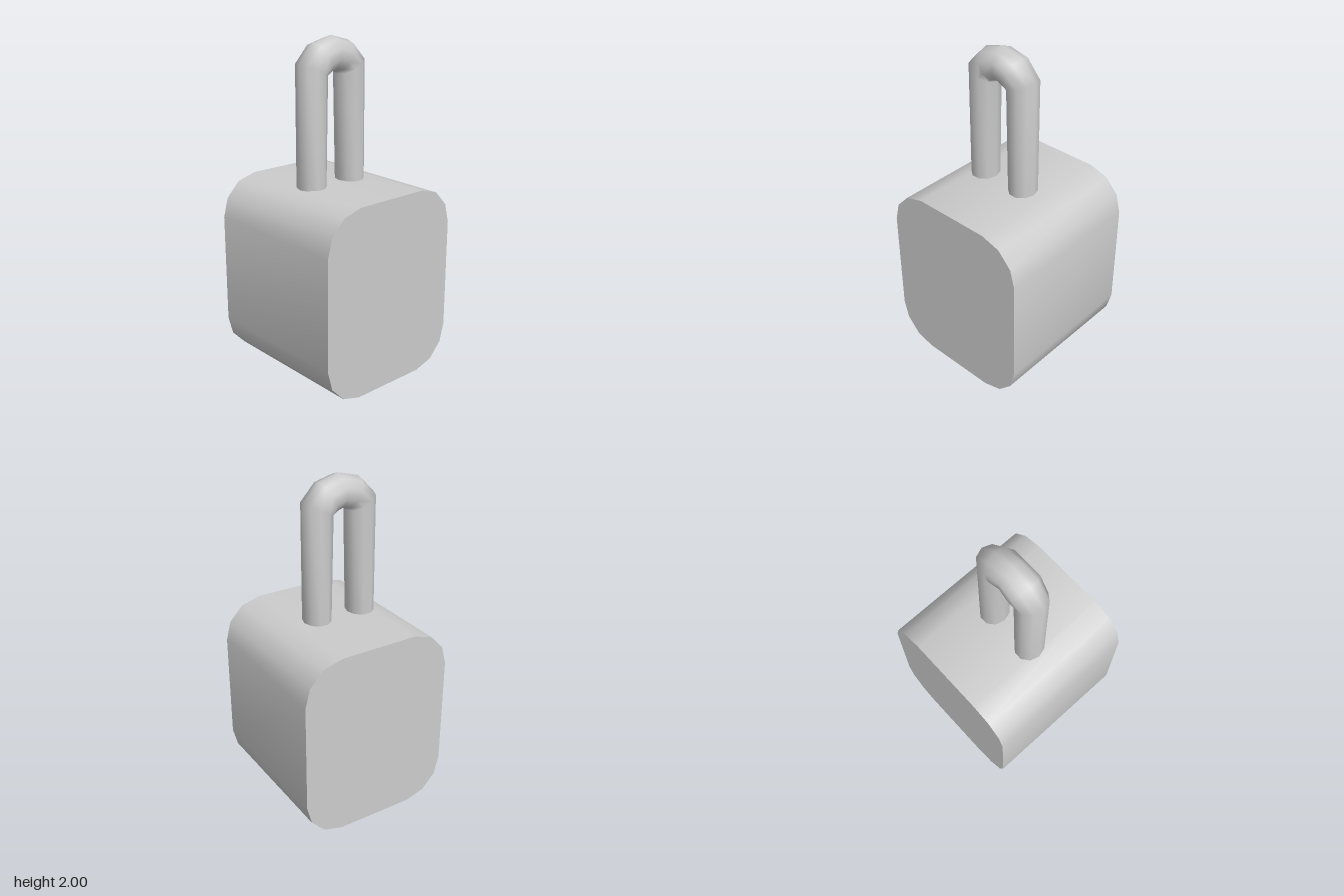
import * as THREE from 'three';
import { toCreasedNormals } from 'three/addons/utils/BufferGeometryUtils.js';

const material = new THREE.MeshStandardMaterial({ color: 0xcccccc });

// Block with rounded long edges, extruded along x
function makeBody() {
  const halfWidth = 0.475, height = 1.145;
  const corner = [[0.24, 0], [0.36, 0.035], [0.445, 0.125], [0.475, 0.24]];
  const right = [...corner, ...corner.map(([z, y]) => [z, height - y]).reverse()];
  const left = right.map(([z, y]) => [-z, y]).reverse();
  const shape = new THREE.Shape([...right, ...left].map(([z, y]) => new THREE.Vector2(-z, y)).reverse());
  const geometry = new THREE.ExtrudeGeometry(shape, { depth: halfWidth * 2, bevelEnabled: false });
  geometry.translate(0, 0, -halfWidth);
  geometry.rotateY(Math.PI / 2);
  const mesh = new THREE.Mesh(toCreasedNormals(geometry, 0.62), material);
  mesh.name = 'lockBody';
  return mesh;
}

// Ten-sided bent bar, lofted through rings in the yz plane
function makeShackle() {
  const sides = 10;
  // offset from the arch centre, height, tilt in degrees, half width, half depth
  const half = [
    [0.148, 1.14, 0, 0.093, 0.083],
    [0.14, 1.818, 25, 0.093, 0.1],
    [0.08, 1.878, 61, 0.104, 0.1],
  ];
  const mirrored = half.map(([z, y, tilt, rx, r]) => [-z, y, 180 - tilt, rx, r]).reverse();
  const rings = [...half, [0, 1.9, 90, 0.096, 0.1], ...mirrored];
  const positions = [], indices = [];
  rings.forEach(([z, y, tilt, rx, r], i) => {
    const t = THREE.MathUtils.degToRad(tilt);
    for (let j = 0; j < sides; j++) {
      const a = (j / sides) * Math.PI * 2;
      const out = Math.cos(a) * r;
      positions.push(Math.sin(a) * rx, y + out * Math.sin(t), z + out * Math.cos(t));
      if (i === rings.length - 1) continue;
      const k = (j + 1) % sides, p = i * sides, q = p + sides;
      indices.push(p + j, p + k, q + j, p + k, q + k, q + j);
    }
  });
  const geometry = new THREE.BufferGeometry();
  geometry.setAttribute('position', new THREE.Float32BufferAttribute(positions, 3));
  geometry.setIndex(indices);
  geometry.computeVertexNormals();
  const mesh = new THREE.Mesh(geometry, material);
  mesh.name = 'shackle';
  mesh.position.z = 0.035;
  return mesh;
}

export function createModel() {
  const group = new THREE.Group();
  group.name = 'padlock';
  group.add(makeBody(), makeShackle());
  return group;
}
